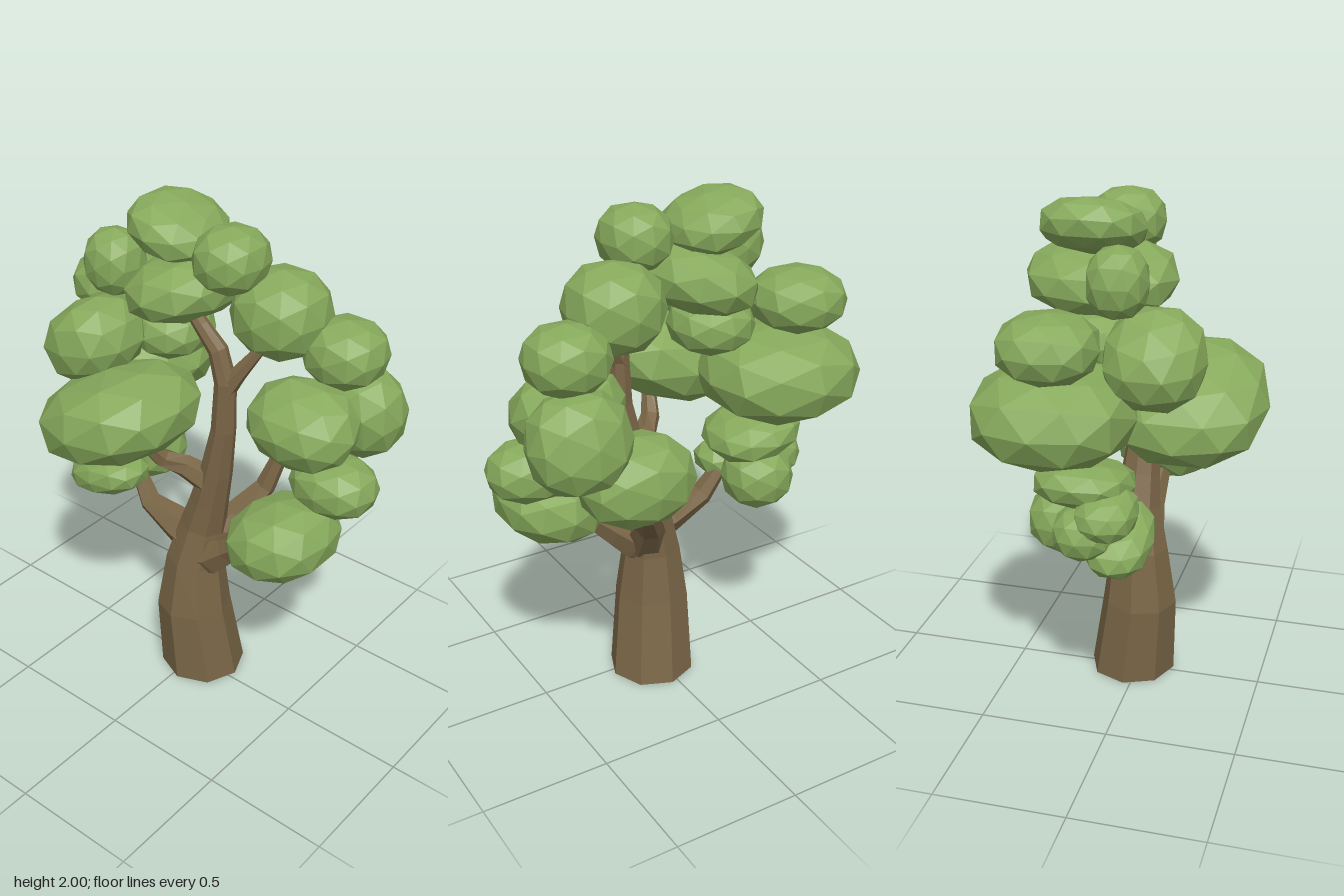
import * as THREE from 'three';

const bark = new THREE.MeshStandardMaterial({ color: 0x7a6647, flatShading: true, side: THREE.DoubleSide });
bark.name = 'bark brown';
const leaf = new THREE.MeshStandardMaterial({ color: 0x87aa5c, flatShading: true });
leaf.name = 'leaf green';

// Faceted limb lofted through rings given as [x, y, z, radius]
function limb(name, rings, sides) {
  const centres = rings.map(([x, y, z]) => new THREE.Vector3(x, y, z));
  const last = rings.length - 1;
  const loops = rings.map(([, , , r], i) => {
    const t = centres[Math.min(i + 1, last)].clone().sub(centres[Math.max(i - 1, 0)]).normalize();
    if (rings[i][1] === 0) t.set(0, 1, 0); // flat on the ground
    const u = new THREE.Vector3(0, 0, 1).addScaledVector(t, -t.z).normalize();
    const v = t.clone().cross(u);
    return Array.from({ length: sides }, (_, j) => {
      const a = (j / sides) * Math.PI * 2;
      return centres[i].clone().addScaledVector(u, r * Math.cos(a)).addScaledVector(v, r * Math.sin(a));
    });
  });
  const points = [];
  for (let i = 0; i < last; i++) {
    for (let j = 0; j < sides; j++) {
      const k = (j + 1) % sides;
      const a = loops[i][j], b = loops[i][k], c = loops[i + 1][k], d = loops[i + 1][j];
      points.push(a, b, d, b, c, d);
    }
  }
  // Close the tip
  for (let j = 0; j < sides; j++) points.push(loops[last][j], loops[last][(j + 1) % sides], centres[last]);
  const geometry = new THREE.BufferGeometry().setFromPoints(points);
  geometry.computeVertexNormals();
  const mesh = new THREE.Mesh(geometry, bark);
  mesh.name = name;
  return mesh;
}

// Low-poly leaf clump: centre, radii, sideways tilt and backward tilt in degrees
function clump(name, [x, y, z], [rx, ry, rz], tilt = 0, tiltBack = 0) {
  const geometry = new THREE.IcosahedronGeometry(1, 1);
  const p = geometry.attributes.position;
  const swell = (c) => Math.sign(c) * Math.abs(c) ** 0.88; // slightly boxy ball
  for (let i = 0; i < p.count; i++) p.setXYZ(i, swell(p.getX(i)), swell(p.getY(i)), swell(p.getZ(i)));
  geometry.scale(rx, ry, rz);
  geometry.rotateX(THREE.MathUtils.degToRad(tiltBack));
  geometry.rotateZ(THREE.MathUtils.degToRad(tilt));
  geometry.computeVertexNormals();
  const mesh = new THREE.Mesh(geometry, leaf);
  mesh.position.set(x, y, z);
  mesh.name = name;
  return mesh;
}

export function createModel() {
  const tree = new THREE.Group();
  tree.name = 'tree';

  // Trunk and branches
  tree.add(
    limb('trunk', [
      [0.026, 0, -0.03, 0.172], [0.004, 0.33, 0.005, 0.149], [0.008, 0.55, 0, 0.117],
      [0.035, 0.72, -0.015, 0.094], [0.07, 0.85, -0.01, 0.078], [0.107, 1.0, -0.005, 0.064],
      [0.142, 1.2, 0, 0.048], [0.148, 1.4, 0, 0.042], [0.112, 1.52, 0, 0.038],
      [0.04, 1.59, 0, 0.031], [-0.08, 1.67, -0.03, 0.025]], 8),
    limb('lowerLeftBranch', [
      [0.02, 0.57, 0, 0.085], [0.1, 0.6, 0, 0.08], [0.18, 0.665, 0, 0.062], [0.34, 0.8, 0.02, 0.036]], 6),
    limb('lowerRightBranch', [
      [0.04, 0.63, 0, 0.08], [-0.07, 0.66, 0, 0.075], [-0.23, 0.71, 0, 0.046], [-0.32, 0.84, -0.02, 0.03]], 6),
    limb('frontBranch', [
      [0.09, 0.94, 0, 0.06], [0.0, 1.01, 0.06, 0.046], [-0.06, 1.05, 0.12, 0.038], [-0.1, 1.16, 0.2, 0.025]], 6),
    limb('backBranch', [
      [0.05, 0.6, -0.03, 0.085], [0.1, 0.72, -0.14, 0.056], [0.17, 0.83, -0.24, 0.042], [0.22, 1.0, -0.28, 0.03]], 6),
    limb('upperLeftBranch', [
      [0.145, 1.37, 0, 0.044], [0.19, 1.44, -0.02, 0.032], [0.26, 1.55, -0.06, 0.02]], 6));

  // Crown
  const crown = new THREE.Group();
  crown.name = 'crown';
  const clumps = [
    ['topClump', [-0.17, 1.885, -0.12], [0.18, 0.1, 0.197], -18],
    ['topLeftClump', [0.115, 1.85, -0.068], [0.134, 0.122, 0.145]],
    ['topRightClump', [-0.36, 1.74, 0.02], [0.117, 0.13, 0.112]],
    ['upperMiddleClump', [-0.1, 1.69, -0.11], [0.208, 0.126, 0.287], 14],
    ['upperLeftClump', [0.262, 1.65, -0.175], [0.182, 0.166, 0.182]],
    ['outerUpperLeftClump', [0.49, 1.535, -0.255], [0.157, 0.127, 0.152]],
    ['middleLeftClump', [0.42, 1.275, -0.11], [0.22, 0.15, 0.172], 0, 30],
    ['backLeftClump', [0.5, 1.265, -0.35], [0.193, 0.188, 0.155], 0, 12],
    ['outerLeftClump', [0.57, 1.08, -0.11], [0.172, 0.112, 0.137]],
    ['lowerLeftClump', [0.447, 0.86, 0.02], [0.204, 0.145, 0.227], 14],
    ['lowerBackClump', [0.285, 1.075, -0.362], [0.222, 0.165, 0.177]],
    ['upperRightClump', [-0.525, 1.545, -0.18], [0.183, 0.122, 0.183]],
    ['innerRightClump', [-0.19, 1.485, -0.1], [0.16, 0.11, 0.165]],
    ['frontRightClump', [-0.353, 1.475, 0.15], [0.195, 0.155, 0.187], 35],
    ['bigRightClump', [-0.44, 1.28, -0.19], [0.306, 0.18, 0.3]],
    ['bigFrontClump', [-0.163, 1.265, 0.232], [0.306, 0.172, 0.296], 20],
    ['lowRightUpperClump', [-0.39, 1.0, -0.1], [0.19, 0.09, 0.19], -12],
    ['lowRightFrontClump', [-0.49, 0.935, 0.01], [0.145, 0.087, 0.115], 8],
    ['lowRightBottomClump', [-0.415, 0.8, 0.04], [0.187, 0.086, 0.125], 18],
    ['lowRightOuterClump', [-0.5, 0.86, -0.07], [0.13, 0.1, 0.115]],
    ['lowRightBackClump', [-0.37, 0.84, -0.18], [0.138, 0.125, 0.138]],
  ];
  for (const spec of clumps) crown.add(clump(...spec));
  tree.add(crown);
  return tree;
}
